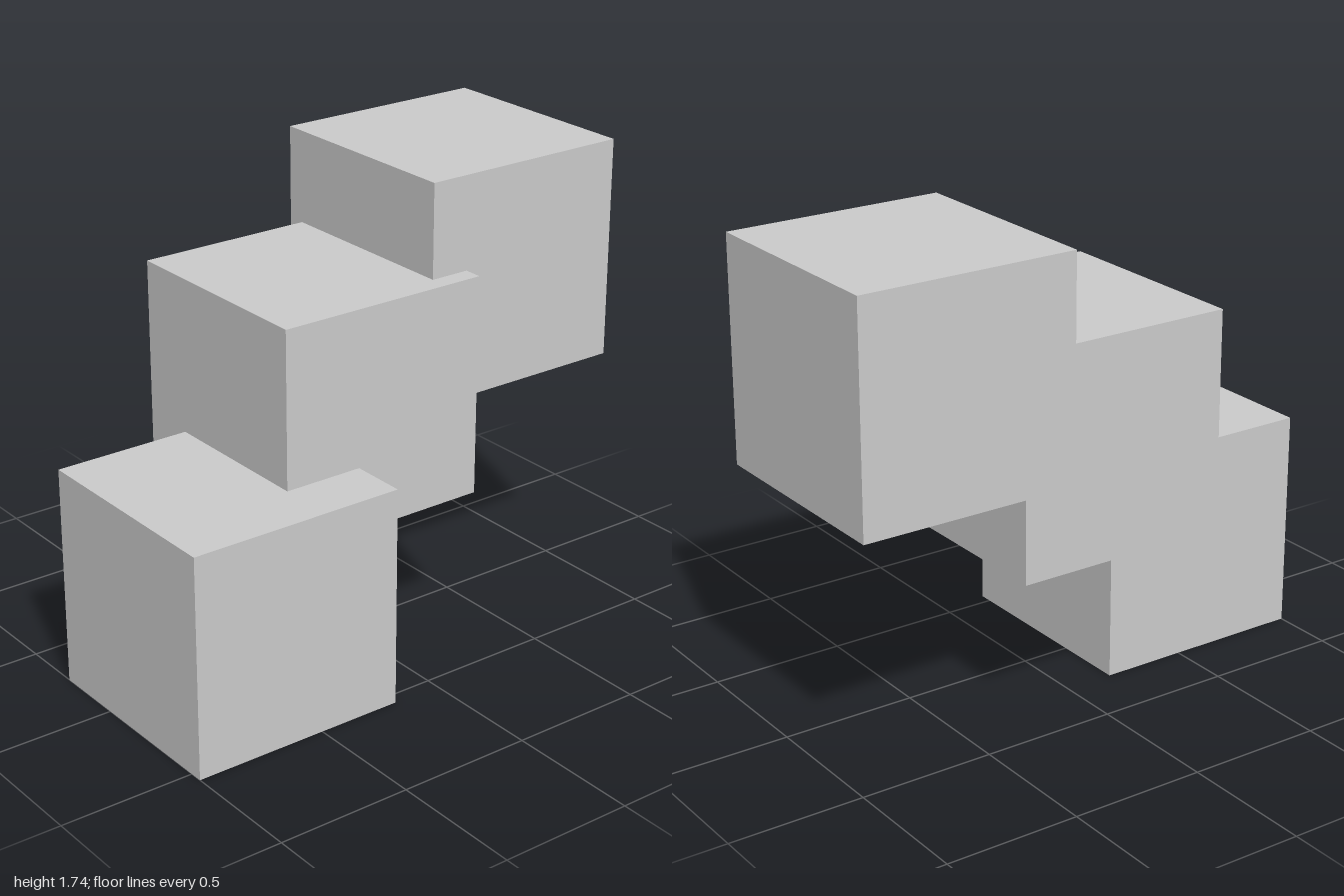
import * as THREE from 'three';

const SIZE = 0.817;

// Three equal, overlapping cubes climbing towards the back
const CUBES = [
  { name: 'lowerCube', position: [0.139, SIZE / 2, 0.592] },
  { name: 'middleCube', position: [-0.071, 0.985, 0.076] },
  { name: 'upperCube', position: [-0.139, 1.33, -0.592] },
];

export function createModel() {
  const group = new THREE.Group();
  group.name = 'steppedCubes';
  const material = new THREE.MeshStandardMaterial({ color: 0xcccccc });
  const geometry = new THREE.BoxGeometry(SIZE, SIZE, SIZE);

  for (const { name, position } of CUBES) {
    const cube = new THREE.Mesh(geometry, material);
    cube.name = name;
    cube.position.set(...position);
    group.add(cube);
  }
  return group;
}
